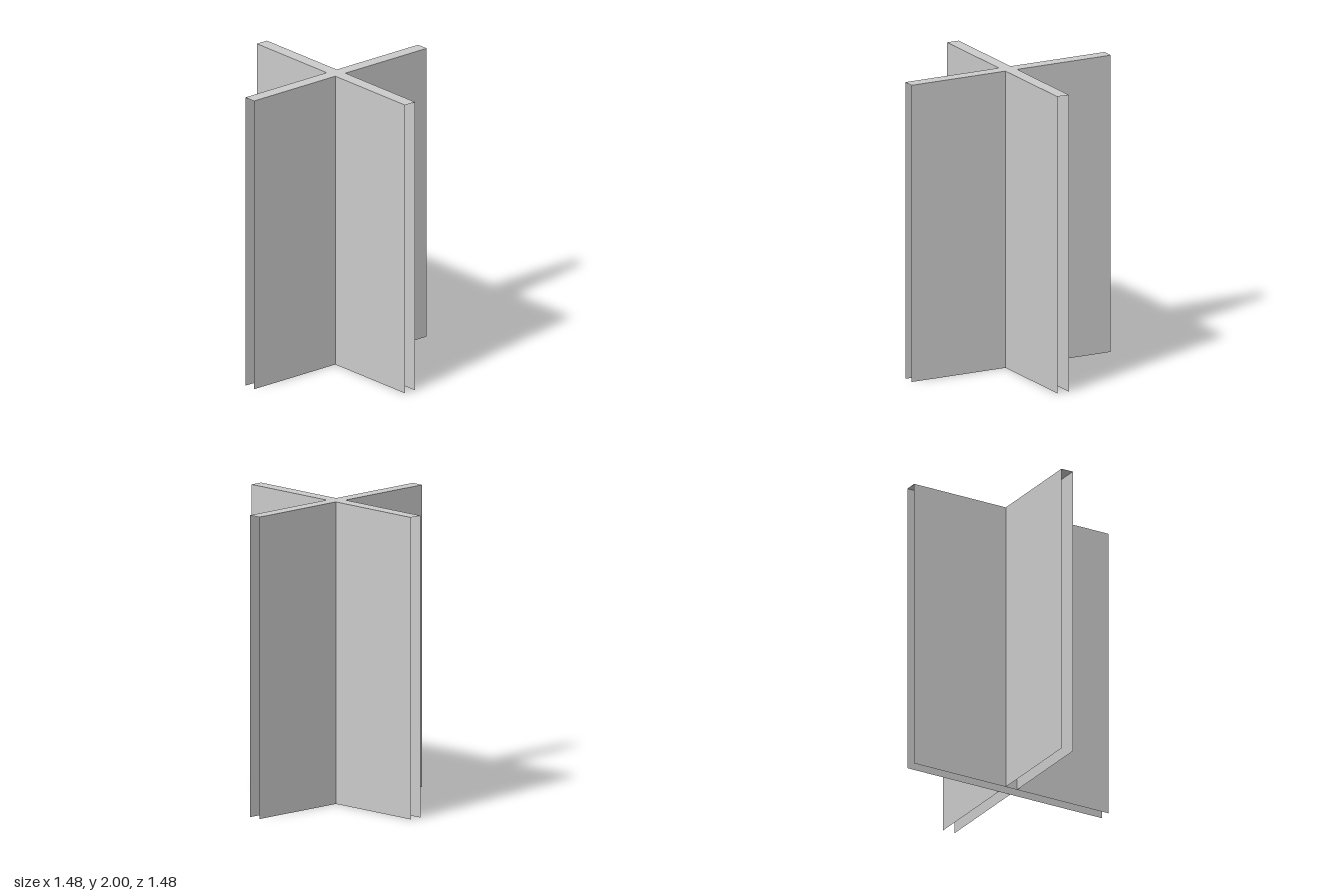
import * as THREE from 'three';

const R = 0.738; // arm reach
const T = 0.043; // half thickness of an arm
const H = 2; // height

export function createModel() {
  const group = new THREE.Group();
  const material = new THREE.MeshStandardMaterial({ color: 0xcccccc, side: THREE.DoubleSide, flatShading: true });

  const add = (name, geometry) => {
    const mesh = new THREE.Mesh(geometry, material);
    mesh.name = name;
    group.add(mesh);
    return mesh;
  };

  // Cross-shaped top; the arms are hollow, open below and at their ends
  const outline = [
    [T, T], [T, R], [-T, R], [-T, T], [-R, T], [-R, -T],
    [-T, -T], [-T, -R], [T, -R], [T, -T], [R, -T], [R, T],
  ].map(([x, y]) => new THREE.Vector2(x, y));
  const cap = new THREE.ShapeGeometry(new THREE.Shape(outline));
  cap.rotateX(-Math.PI / 2);
  add('topCap', cap).position.y = H;

  for (const s of [1, -1]) {
    // Long wall running straight through the centre
    const long = new THREE.PlaneGeometry(2 * R, H);
    if (s < 0) long.rotateY(Math.PI);
    add(s > 0 ? 'frontLongWall' : 'backLongWall', long).position.set(0, H / 2, s * T);

    // Pair of walls for the arm that meets it at right angles
    for (const side of [1, -1]) {
      const short = new THREE.PlaneGeometry(R - T, H).rotateY(side * Math.PI / 2);
      const name = (s > 0 ? 'front' : 'back') + (side > 0 ? 'Left' : 'Right') + 'ArmWall';
      add(name, short).position.set(side * T, H / 2, s * (R + T) / 2);
    }
  }
  return group;
}
